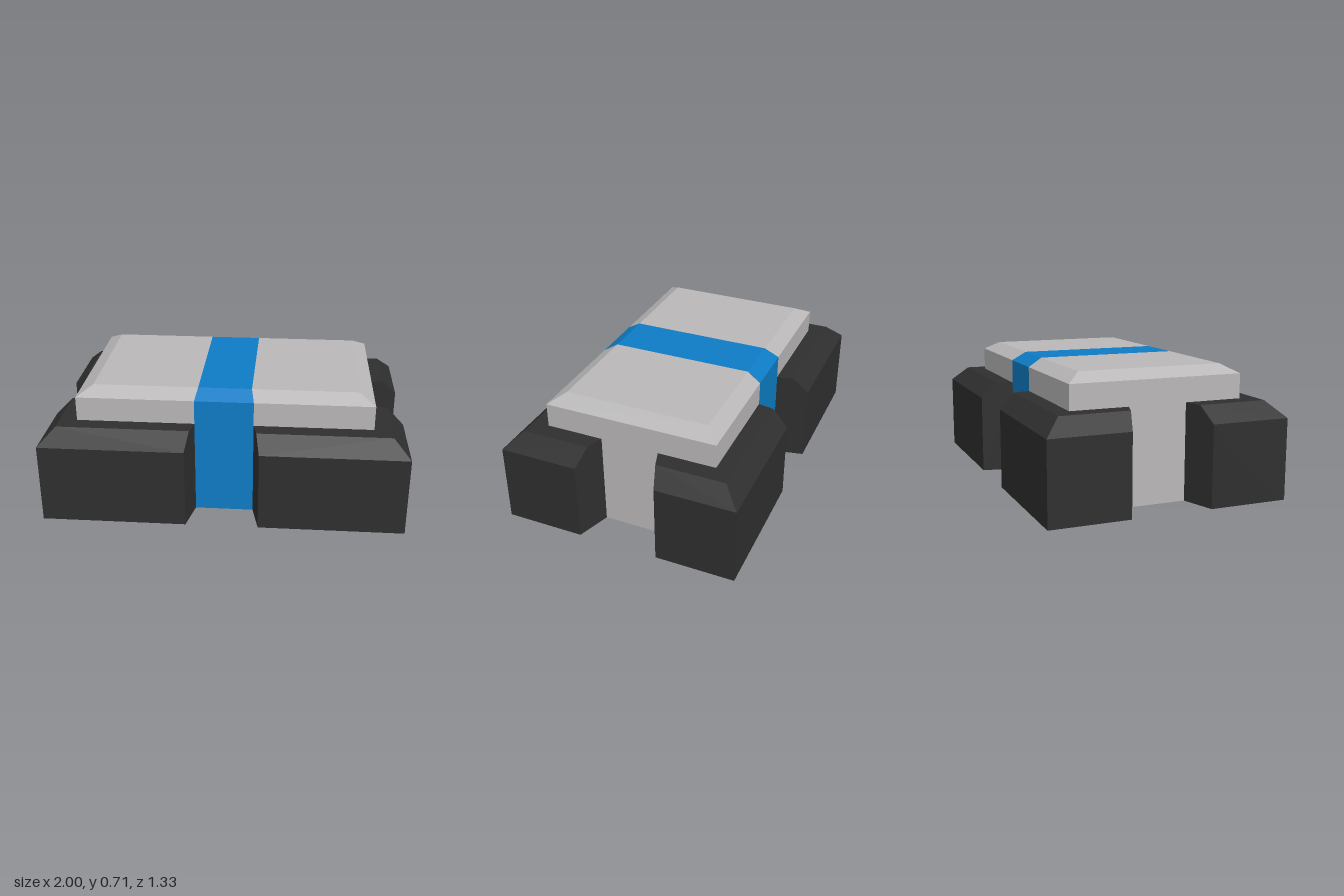
import * as THREE from 'three';

const mat = (name, color) => {
  const m = new THREE.MeshStandardMaterial({ color });
  m.name = name;
  return m;
};

// Skins closed six-point loops; the last side of each loop is the underside (material 1).
function loft(loops, { sx = 1, sz = 1, startCap = false, endCap = false } = {}) {
  const top = [], under = [];
  const flip = sx * sz < 0;
  const quad = (out, a, b, c, d) => {
    const tris = flip ? [a, c, b, a, d, c] : [a, b, c, a, c, d];
    for (const [x, y, z] of tris) out.push(x * sx, y, z * sz);
  };
  for (let i = 0; i < loops.length - 1; i++) {
    const p = loops[i], q = loops[i + 1];
    for (let j = 0; j < 6; j++) {
      const k = (j + 1) % 6;
      quad(j === 5 ? under : top, p[j], q[j], q[k], p[k]);
    }
  }
  // End caps are split into an upright quad and a bevelled or upper quad
  for (let j = 0; j < 2; j++) {
    const s = loops[0], e = loops[loops.length - 1];
    if (startCap) quad(top, s[j], s[j + 1], s[4 - j], s[5 - j]);
    if (endCap) quad(top, e[j], e[5 - j], e[4 - j], e[j + 1]);
  }
  const geo = new THREE.BufferGeometry();
  geo.setAttribute('position', new THREE.Float32BufferAttribute([...top, ...under], 3));
  geo.addGroup(0, top.length / 3, 0);
  geo.addGroup(top.length / 3, under.length / 3, 1);
  geo.computeVertexNormals();
  return geo;
}

// Body section across z, with its own x at the sides and at the bevelled top
const bodyLoop = (xSide, xTop) => [
  [xSide, 0, 0.485], [xSide, 0.667, 0.485], [xTop, 0.715, 0.405],
  [xTop, 0.715, -0.405], [xSide, 0.667, -0.485], [xSide, 0, -0.485],
];

// Corner guard section: outer wall, bevel, flat top, inner wall
const guardLoop = ([ox, oz], [tx, tz], [ix, iz]) => [
  [ox, 0, oz], [ox, 0.445, oz], [tx, 0.532, tz],
  [ix, 0.532, iz], [ix, 0.445, iz], [ix, 0, iz],
];

export function createModel() {
  const group = new THREE.Group();
  const grey = mat('light grey', 0xb9b7b7);
  const blue = mat('blue', 0x0e7cc5);
  const black = mat('charcoal', 0x2f2f2f);
  const add = (name, geo, materials) => {
    const mesh = new THREE.Mesh(geo, materials);
    mesh.name = name;
    group.add(mesh);
  };

  // Blue band wrapping the middle of the body
  add('centreBand', loft([bodyLoop(-0.162, -0.147), bodyLoop(0.162, 0.147)]), [blue, blue]);

  for (const sx of [1, -1]) {
    const side = sx > 0 ? 'left' : 'right';
    // Grey body half with a dark underside
    add(`${side}Body`, loft([bodyLoop(0.162, 0.147), bodyLoop(0.813, 0.727)], { sx, endCap: true }), [grey, black]);

    // L-shaped guards wrapping the corners
    for (const sz of [1, -1]) {
      const loops = [
        guardLoop([0.2, 0.667], [0.181, 0.577], [0.162, 0.485]),
        guardLoop([1, 0.667], [0.91, 0.577], [0.813, 0.485]),
        guardLoop([1, 0.225], [0.91, 0.195], [0.813, 0.163]),
      ];
      add(`${side}${sz > 0 ? 'Front' : 'Back'}CornerGuard`,
        loft(loops, { sx, sz, startCap: true, endCap: true }), [black, black]);
    }
  }
  return group;
}
